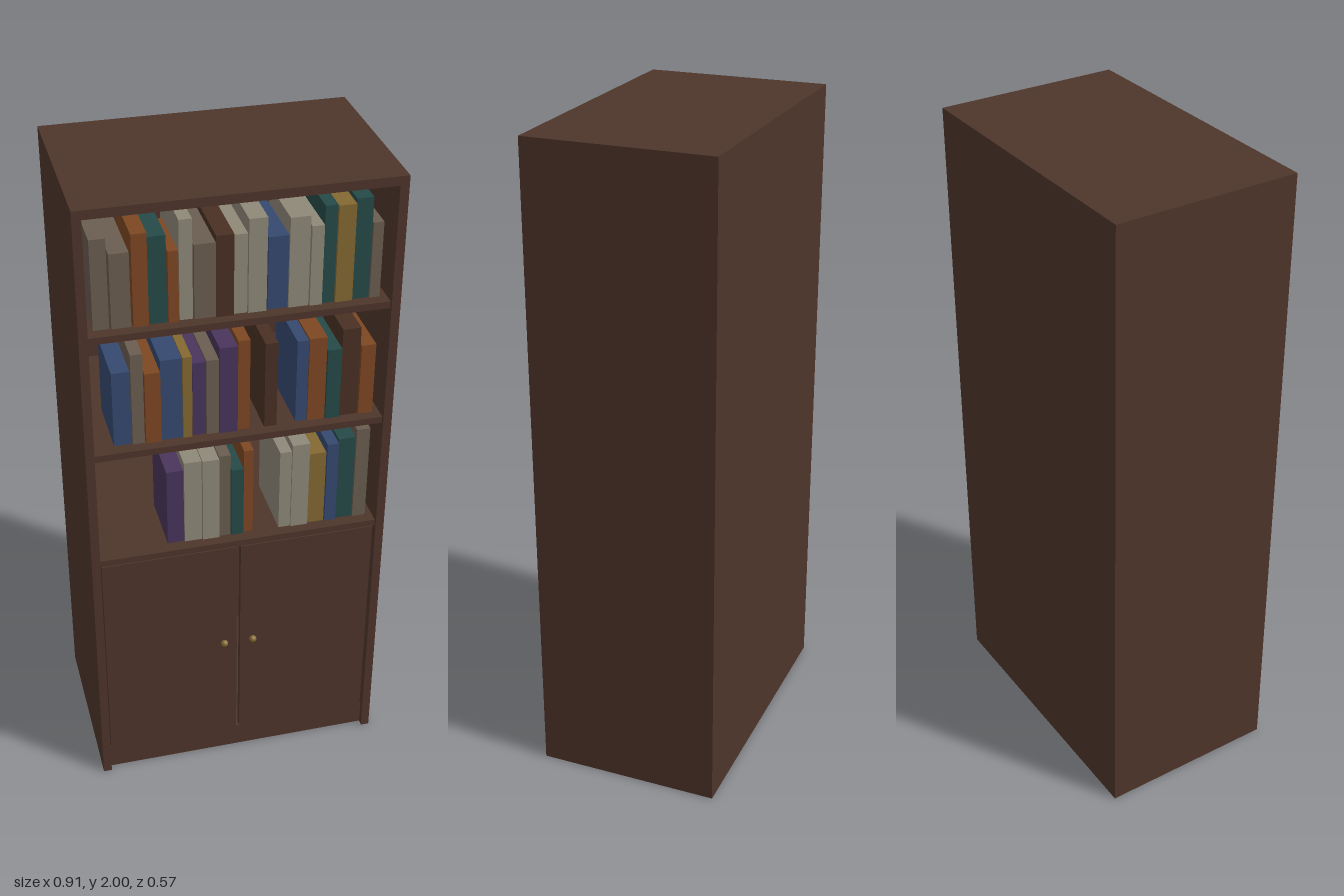
import * as THREE from 'three';

const mat = (name, hex, extra = {}) =>
  Object.assign(new THREE.MeshStandardMaterial({ color: hex }), { name }, extra);

const M = {
  wood: mat('dark wood', 0x4e352a),
  brown: mat('brown cover', 0x4a3024),
  taupe: mat('taupe cover', 0x6a5e50),
  cream: mat('cream cover', 0x8f8979),
  orange: mat('rust cover', 0x7e4723),
  teal: mat('teal cover', 0x254b49),
  blue: mat('blue cover', 0x354970),
  purple: mat('purple cover', 0x49355c),
  gold: mat('gold', 0x846832),
};

// Box given by its two extreme corners
function box(name, material, [x0, x1], [y0, y1], [z0, z1]) {
  const mesh = new THREE.Mesh(new THREE.BoxGeometry(x1 - x0, y1 - y0, z1 - z0), material);
  mesh.name = name;
  mesh.position.set((x0 + x1) / 2, (y0 + y1) / 2, (z0 + z1) / 2);
  return mesh;
}

const W = 0.453, D = 0.283, IN = 0.427, BACK = -0.271;

// Each shelf of books: [cover, left edge, right edge, height], in hundredths
const ROWS = [
  { name: 'topShelfBooks', base: 1.62, books: [
    ['taupe', -40.5, -36, 27], ['taupe', -35.5, -30, 22.5], ['orange', -29.5, -25.2, 27.7],
    ['teal', -25.2, -20, 26.2], ['orange', -19.7, -16.8, 21.5], ['cream', -16.5, -12.8, 30],
    ['taupe', -12.5, -6.5, 22.5], ['brown', -6.5, -1.5, 24.6], ['cream', -1.4, 2.4, 24],
    ['cream', 2.6, 7.8, 28.3], ['blue', 8.2, 14, 22], ['cream', 14.1, 19.8, 27.2],
    ['cream', 20.1, 23.6, 24.2], ['teal', 23.8, 27.3, 29.5], ['gold', 27.5, 32.5, 29.3],
    ['teal', 32.6, 37.4, 30.5], ['taupe', 37.6, 40.6, 23]] },
  { name: 'middleShelfBooks', base: 1.237, books: [
    ['blue', -36.2, -31, 24], ['taupe', -30.8, -27.3, 29.4], ['orange', -27, -22.5, 23],
    ['blue', -22.4, -16.2, 26.3], ['gold', -16.1, -13.4, 26.6], ['purple', -13.2, -9.3, 24],
    ['taupe', -9.2, -5.6, 24.5], ['purple', -5.5, -0.3, 28.2], ['orange', 0, 3.5, 29.4],
    ['brown', 7.8, 11.5, 27.6], ['blue', 17.3, 20.7, 26.7], ['orange', 20.8, 26, 27.2],
    ['teal', 26.2, 30.4, 23], ['brown', 30.6, 36, 28.8], ['orange', 36.3, 40.6, 23]] },
  { name: 'lowerShelfBooks', base: 0.86, books: [
    ['purple', -21.3, -16.2, 25.8], ['cream', -16.1, -10.8, 28.5], ['cream', -10.6, -5.6, 28.5],
    ['taupe', -5.5, -2, 29], ['teal', -1.8, 1.8, 23.7], ['orange', 2.1, 5, 29.5],
    ['cream', 13, 16.6, 27.3], ['cream', 16.7, 22, 29.5], ['gold', 22.1, 27.3, 25.2],
    ['blue', 27.5, 31, 28], ['teal', 31.1, 36.3, 29], ['taupe', 36.5, 40.6, 31.7]] },
];

export function createModel() {
  const model = new THREE.Group();
  model.name = 'bookcase';

  // Carcass
  model.add(
    box('leftSide', M.wood, [IN, W], [0, 2], [-D, D]),
    box('rightSide', M.wood, [-W, -IN], [0, 2], [-D, D]),
    box('topPanel', M.wood, [-IN, IN], [1.973, 2], [-D, D]),
    box('backPanel', M.wood, [-IN, IN], [0, 1.973], [-D, BACK]),
    box('bottomPanel', M.wood, [-IN, IN], [0.055, 0.08], [BACK, 0.25]),
    box('plinth', M.wood, [-IN, IN], [0, 0.08], [0.24, 0.263]),
  );

  // Shelves
  for (const { base } of ROWS) {
    model.add(box('shelf', M.wood, [-IN, IN], [base - 0.021, base], [BACK, 0.273]));
  }

  // Doors with small round knobs
  for (const side of [-1, 1]) {
    const door = new THREE.Group();
    door.name = side > 0 ? 'leftDoor' : 'rightDoor';
    const xs = [side * 0.005, side * 0.422].sort((a, b) => a - b);
    door.add(box('doorPanel', M.wood, xs, [0.085, 0.832], [0.248, 0.268]));
    const knob = new THREE.Mesh(new THREE.SphereGeometry(0.012, 12, 8), M.gold);
    knob.name = 'knob';
    knob.position.set(side * 0.046, 0.457, 0.271);
    door.add(knob);
    model.add(door);
  }

  // Books, with slightly uneven spines
  for (const { name, base, books } of ROWS) {
    const row = new THREE.Group();
    row.name = name;
    books.forEach(([cover, x0, x1, h], i) => {
      const front = 0.238 + ((i * 7) % 5 - 2) * 0.002;
      const depth = 0.2 + ((i * 3) % 4) * 0.012;
      row.add(box('book', M[cover], [x0 / 100, x1 / 100], [base, base + h / 100], [front - depth, front]));
    });
    model.add(row);
  }
  return model;
}
